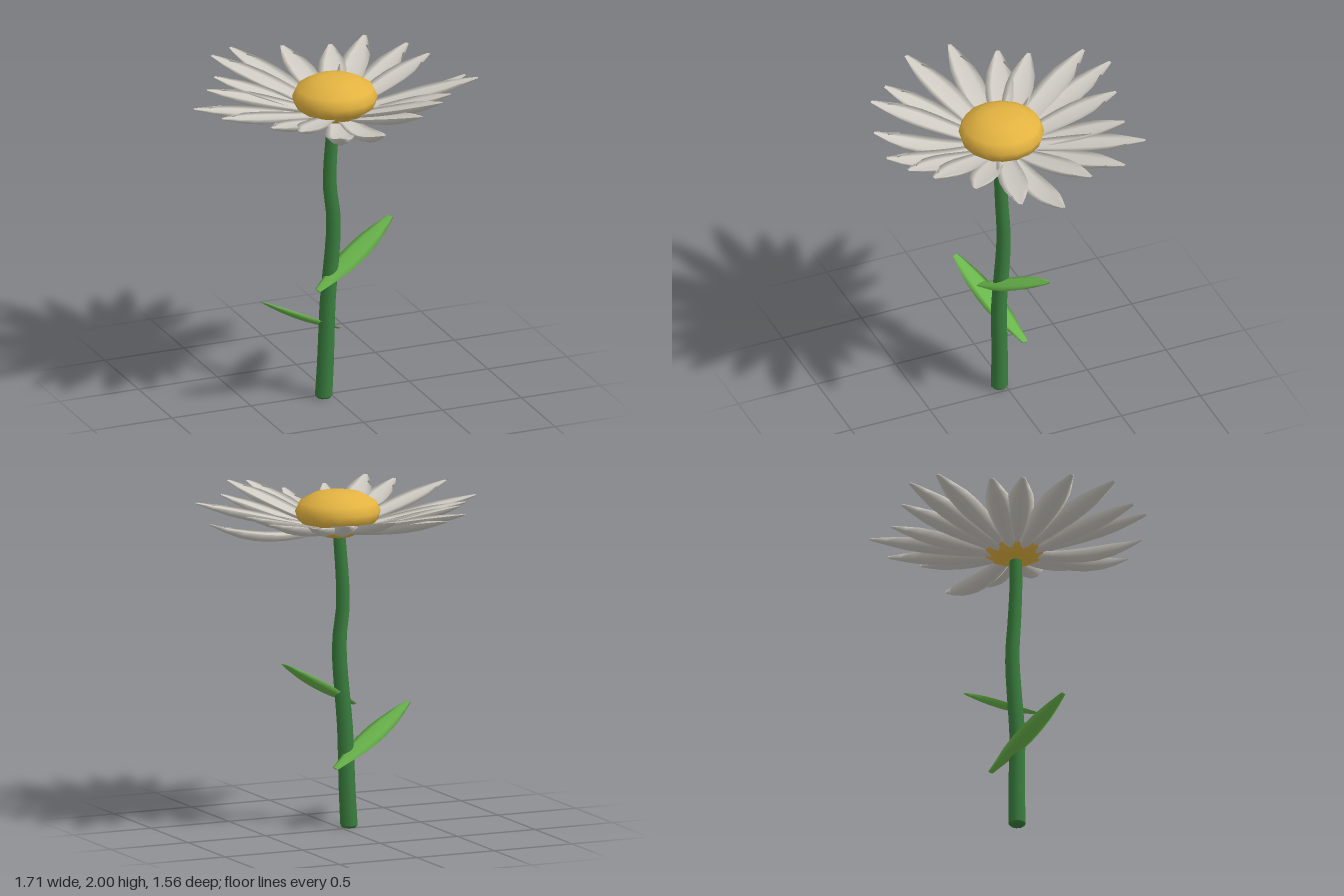
import * as THREE from 'three';

// Solid blade from a to b: halfWidths along its length, w = sideways direction,
// heights = rise of the rim, the top ridge and the bottom keel at the widest point
function blade(a, b, w, halfWidths, [rim, top, keel], sag) {
  const along = b.clone().sub(a).normalize();
  const side = w.clone().addScaledVector(along, -w.dot(along)).normalize();
  const up = side.clone().cross(along);
  const mix = (h) => h + (rim - h) * 0.3;
  const ring = [[-1, rim], [-0.55, mix(top)], [0, top], [0.55, mix(top)],
    [1, rim], [0.55, mix(keel)], [0, keel], [-0.55, mix(keel)]];
  const rows = halfWidths.length, n = ring.length;
  const peak = Math.max(...halfWidths);
  const pos = [], index = [];
  halfWidths.forEach((h, i) => {
    const t = i / (rows - 1);
    const mid = a.clone().lerp(b, t).addScaledVector(up, -sag * 4 * t * (1 - t));
    for (const [s, rise] of ring) {
      const p = mid.clone().addScaledVector(side, s * h).addScaledVector(up, rise * h / peak);
      pos.push(p.x, p.y, p.z);
    }
    if (i === rows - 1) return;
    for (let j = 0; j < n; j++) {
      const k = i * n + j, k1 = i * n + (j + 1) % n;
      index.push(k, k1, k + n, k1, k1 + n, k + n);
    }
  });
  // End caps
  const last = (rows - 1) * n;
  for (let j = 1; j < n - 1; j++) index.push(0, j + 1, j, last, last + j, last + j + 1);
  const g = new THREE.BufferGeometry();
  g.setAttribute('position', new THREE.Float32BufferAttribute(pos, 3));
  g.setIndex(index);
  g.computeVertexNormals();
  return g;
}

export function createModel() {
  const V = (x, y, z) => new THREE.Vector3(x, y, z);
  const material = (name, color) => {
    const m = new THREE.MeshStandardMaterial({ color });
    m.name = name;
    return m;
  };
  const petalWhite = material('petalWhite', 0xd0ccc4);
  const discYellow = material('discYellow', 0xe3b341);
  const stemGreen = material('stemGreen', 0x397d3d);
  const leafGreen = material('leafGreen', 0x6ab54c);

  const flower = new THREE.Group();
  flower.name = 'flower';
  const add = (name, geometry, mat, parent = flower) => {
    const mesh = new THREE.Mesh(geometry, mat);
    mesh.name = name;
    parent.add(mesh);
    return mesh;
  };

  // Stem: a tapered cylinder bent along a wavy curve
  const path = [
    [-0.055, 0.012, 0.035], [-0.045, 0.2, 0.037], [-0.04, 0.4, 0.042], [-0.034, 0.6, 0.046],
    [-0.014, 0.8, 0.042], [0.005, 1.0, 0.037], [0.005, 1.15, 0.034], [-0.015, 1.3, 0.035],
    [-0.017, 1.45, 0.042], [-0.01, 1.6, 0.05], [0.002, 1.76, 0.053],
  ].map((p) => V(...p));
  const curve = new THREE.CatmullRomCurve3(path);
  const stem = new THREE.CylinderGeometry(0.036, 0.051, 1, 10, 20);
  const sp = stem.attributes.position;
  for (let i = 0; i < sp.count; i++) {
    const c = curve.getPoint(Math.min(1, Math.max(0, sp.getY(i) + 0.5)));
    sp.setXYZ(i, c.x + sp.getX(i), c.y, c.z + sp.getZ(i));
  }
  add('stem', stem, stemGreen);
  const foot = add('stemFoot', new THREE.CylinderGeometry(0.051, 0.04, 0.012, 10), stemGreen);
  foot.position.set(-0.055, 0.006, 0.035);

  // Flower head: squashed dome
  const profile = [[0, 1.72], [0.08, 1.73], [0.17, 1.77], [0.235, 1.83], [0.25, 1.88],
    [0.225, 1.935], [0.14, 1.983], [0.07, 1.997], [0, 2.0]];
  const disc = add('disc', new THREE.LatheGeometry(
    profile.map(([r, y]) => new THREE.Vector2(r, y)), 16), discYellow);
  disc.position.set(0.01, 0, 0.05);

  // Petals: one per tip, radiating from the head; the lowest ones droop
  const tips = [
    [0.85, 1.87, 0.02], [0.72, 1.94, -0.21], [0.68, 1.93, -0.44], [0.50, 1.93, -0.65],
    [0.27, 1.92, -0.62], [-0.01, 1.93, -0.69], [-0.30, 1.93, -0.78], [-0.46, 1.94, -0.68],
    [-0.57, 1.93, -0.38], [-0.68, 1.92, -0.23], [-0.86, 1.91, 0], [-0.81, 1.95, 0.30],
    [-0.59, 1.94, 0.53], [-0.47, 1.95, 0.67], [-0.24, 1.90, 0.75], [0.01, 1.89, 0.78],
    [0.26, 1.96, 0.75], [0.43, 1.99, 0.66], [0.57, 1.95, 0.46], [0.82, 1.95, 0.28],
  ];
  const petalWidths = [0.045, 0.06, 0.072, 0.081, 0.083, 0.073, 0.045, 0.012];
  const petals = new THREE.Group();
  petals.name = 'petals';
  flower.add(petals);
  tips.forEach(([x, y, z], i) => {
    const dir = V(x - 0.01, 0, z - 0.05).normalize();
    const base = V(0.01, 1.77 + (i % 2) * 0.015, 0.05).addScaledVector(dir, 0.13);
    const sideways = V(-dir.z, 0, dir.x);
    const sag = y < 1.905 ? 0.05 : 0.008;
    add('petal', blade(base, V(x, y, z), sideways, petalWidths, [0.02, 0.008, -0.032], sag),
      petalWhite, petals);
  });

  // Leaves: two slanted blades passing through the stem
  const leafWidths = [0.022, 0.045, 0.07, 0.082, 0.082, 0.072, 0.05, 0.02];
  const leafHeights = [0.006, 0.016, -0.02];
  add('upperLeaf', blade(V(-0.13, 0.71, 0.13), V(0.415, 1.02, -0.07),
    V(0.38, -0.11, 0.9), leafWidths, leafHeights, 0.008), leafGreen);
  add('lowerLeaf', blade(V(0.08, 0.375, -0.07), V(-0.48, 0.69, 0.13),
    V(-0.39, -0.11, -0.9), leafWidths, leafHeights, 0.008), leafGreen);

  return flower;
}
